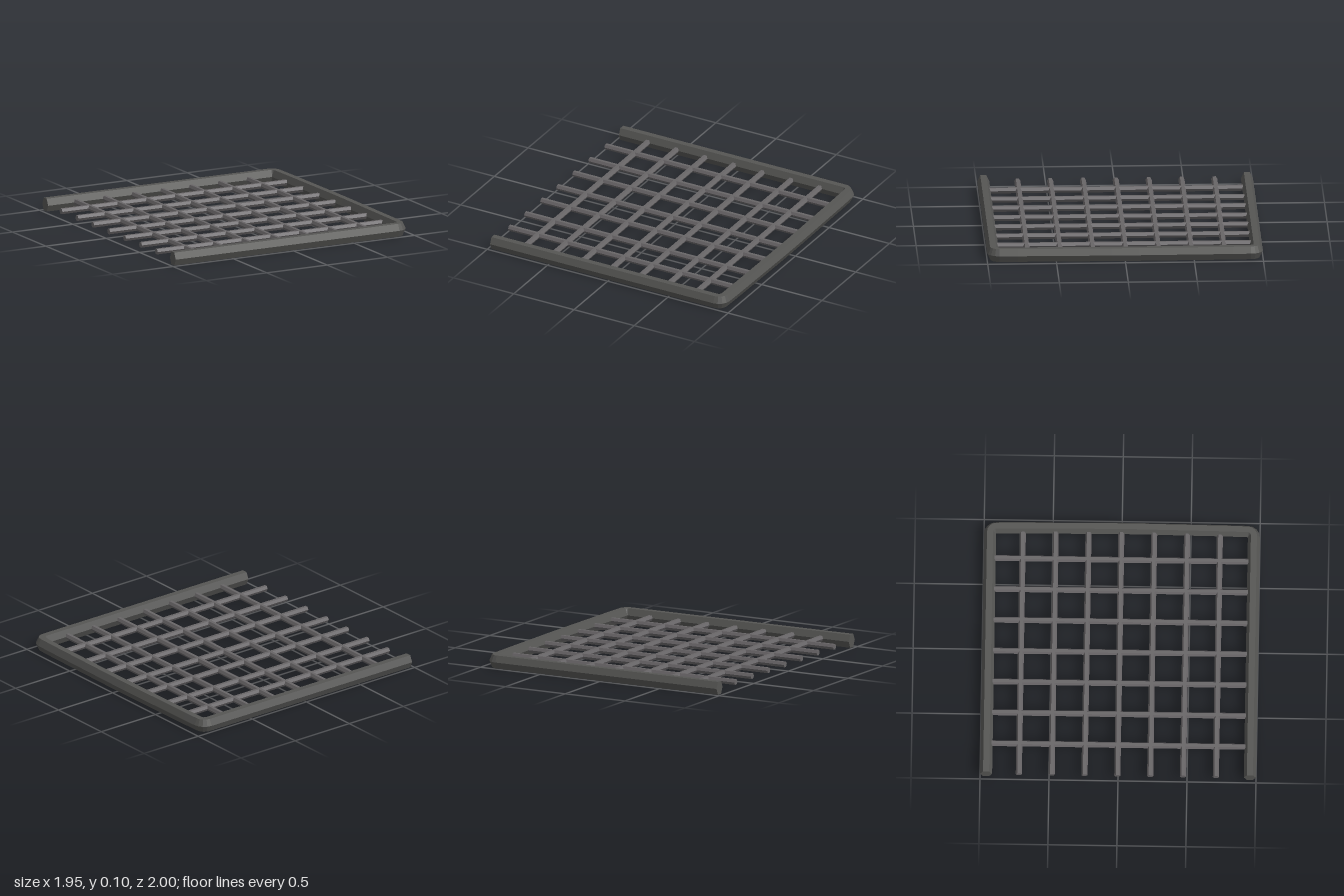
import * as THREE from 'three';

const MID_Y = 0.048;

// Sweeps a hexagonal section along stations { x, z, nx, nz } (n points outward)
function sweepHexagon(stations, halfWidth, halfHeight) {
  const positions = [];
  const index = [];
  for (const s of stations) {
    for (let k = 0; k < 6; k++) {
      const a = (k * Math.PI) / 3;
      const out = Math.cos(a) * halfWidth;
      const up = (Math.sin(a) / Math.sin(Math.PI / 3)) * halfHeight;
      positions.push(s.x + s.nx * out, MID_Y + up, s.z + s.nz * out);
    }
  }
  const last = (stations.length - 1) * 6;
  for (let i = 0; i < last; i += 6) {
    for (let k = 0; k < 6; k++) {
      const n = (k + 1) % 6;
      index.push(i + k, i + 6 + k, i + 6 + n, i + k, i + 6 + n, i + n);
    }
  }
  // End caps
  for (let k = 1; k < 5; k++) {
    index.push(0, k, k + 1, last, last + k + 1, last + k);
  }
  const g = new THREE.BufferGeometry();
  g.setAttribute('position', new THREE.Float32BufferAttribute(positions, 3));
  g.setIndex(index);
  g.computeVertexNormals();
  return g;
}

export function createModel() {
  const model = new THREE.Group();
  model.name = 'grate';

  const frameMetal = new THREE.MeshStandardMaterial({ color: 0x555553, flatShading: true });
  frameMetal.name = 'dark frame metal';
  const barMetal = new THREE.MeshStandardMaterial({ color: 0x686567, flatShading: true });
  barMetal.name = 'grey bar metal';

  // Three-sided frame: front rail, rounded corner, slightly bowed side, corner, back rail
  const half = 0.044;
  const cornerX = 0.876;
  const cornerZ = 0.912;
  const stations = [{ x: -0.977, z: cornerZ + half, nx: 0, nz: 1 }];
  const addCorner = (z, from) => {
    for (let i = 0; i <= 4; i++) {
      const a = from - (i / 4) * (Math.PI / 2);
      const nx = Math.cos(a), nz = Math.sin(a);
      stations.push({ x: cornerX + nx * half, z: z + nz * half, nx, nz });
    }
  };
  addCorner(cornerZ, Math.PI / 2);
  for (const [z, bow] of [[0.78, 0.003], [0.1, 0.01], [-0.1, 0.01], [-0.78, 0.003]]) {
    stations.push({ x: cornerX + half + bow, z, nx: 1, nz: 0 });
  }
  addCorner(-cornerZ, 0);
  stations.push({ x: -0.977, z: -cornerZ - half, nx: 0, nz: -1 });

  const frame = new THREE.Mesh(sweepHexagon(stations, half, 0.048), frameMetal);
  frame.name = 'frame';
  model.add(frame);

  // Lattice of seven bars each way
  const radius = 0.0225;
  const longGeometry = new THREE.CylinderGeometry(radius, radius, 1.877, 6).rotateZ(Math.PI / 2);
  const crossGeometry = new THREE.CylinderGeometry(radius, radius, 1.84, 6, 1, false, Math.PI / 2)
    .rotateX(Math.PI / 2);
  for (let i = -3; i <= 3; i++) {
    const longBar = new THREE.Mesh(longGeometry, barMetal);
    longBar.name = 'longBar';
    longBar.position.set(-0.0385, MID_Y, -0.005 + i * 0.238);
    const crossBar = new THREE.Mesh(crossGeometry, barMetal);
    crossBar.name = 'crossBar';
    crossBar.position.set(-0.026 + i * 0.238, MID_Y, 0);
    model.add(longBar, crossBar);
  }
  return model;
}
